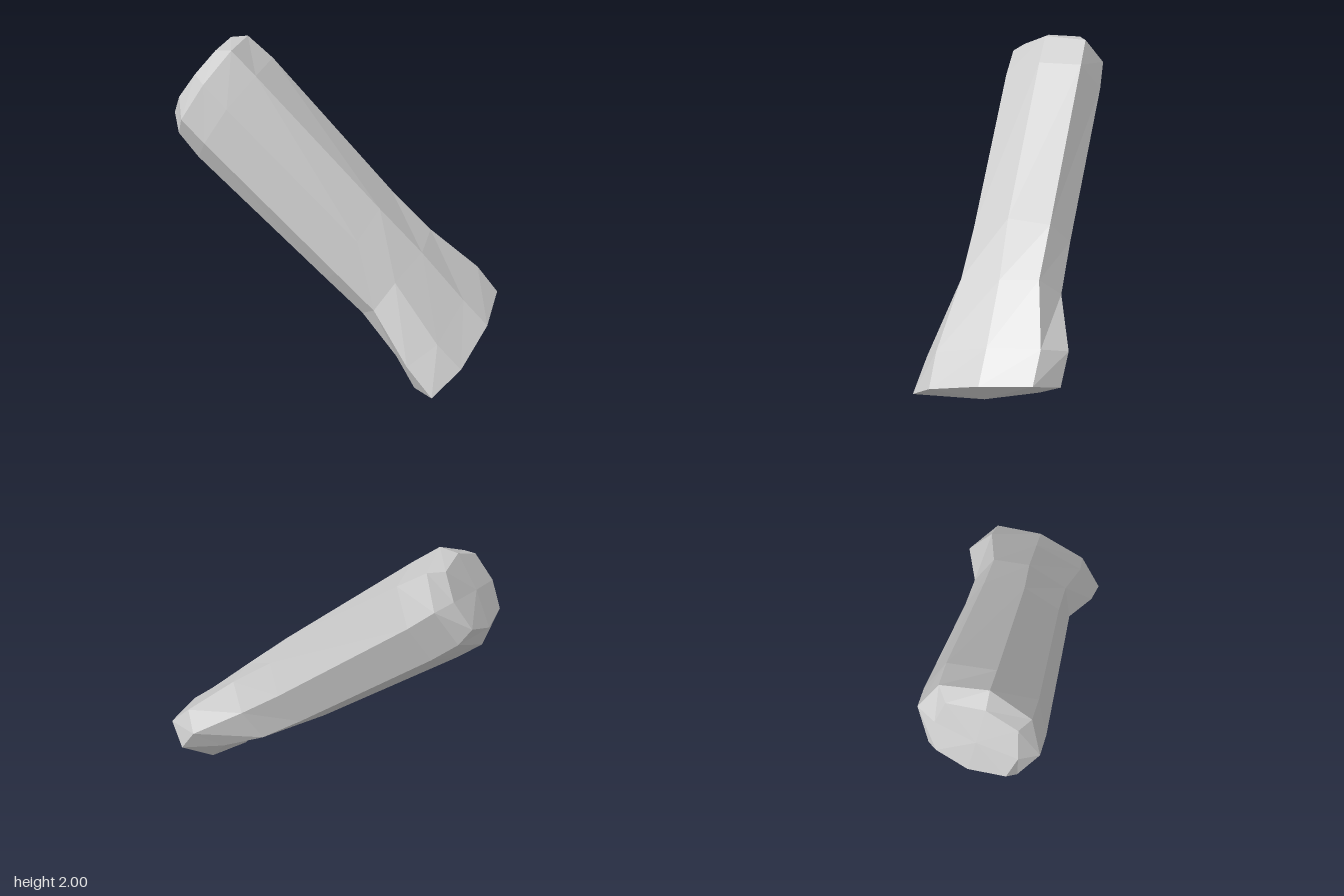
import * as THREE from 'three';

// Each cross-section: centre, then four neighbouring corners of an octagon.
// The other four corners are point reflections through the centre.
const sections = [
  [[-0.625, 1.79, -0.72], [-0.83, 1.74, -0.60], [-0.74, 1.90, -0.53], [-0.57, 1.985, -0.61], [-0.41, 1.985, -0.75]], // top bevel
  [[-0.58, 1.735, -0.67], [-0.87, 1.65, -0.48], [-0.73, 1.87, -0.43], [-0.50, 2.00, -0.53], [-0.31, 1.985, -0.72]], // shoulder
  [[-0.485, 1.60, -0.56], [-0.78, 1.52, -0.36], [-0.64, 1.74, -0.31], [-0.40, 1.86, -0.41], [-0.20, 1.86, -0.60]],
  [[0.055, 0.84, 0.07], [-0.22, 0.76, 0.27], [-0.09, 0.98, 0.31], [0.13, 1.09, 0.20], [0.32, 1.07, 0.02]],
  [[0.23, 0.61, 0.265], [-0.05, 0.53, 0.46], [0.07, 0.74, 0.51], [0.33, 0.81, 0.40], [0.50, 0.83, 0.23]], // flare begins
  [[0.415, 0.37, 0.49], [0.03, 0.25, 0.75], [0.22, 0.39, 0.79], [0.52, 0.51, 0.62], [0.77, 0.55, 0.41]],
  [[0.49, 0.195, 0.62], [0.12, 0.08, 0.91], [0.33, 0.23, 0.91], [0.63, 0.35, 0.75], [0.86, 0.39, 0.53]], // foot rim
];
const topTip = [-0.635, 1.80, -0.73];
const footTip = [0.52, 0.16, 0.64];

function octagon([centre, ...corners]) {
  const opposite = corners.map((p) => p.map((v, i) => 2 * centre[i] - v));
  return [...corners, ...opposite];
}

function meshFrom(name, triangles, material) {
  const geometry = new THREE.BufferGeometry();
  geometry.setAttribute('position', new THREE.Float32BufferAttribute(triangles.flat(), 3));
  geometry.computeVertexNormals();
  const mesh = new THREE.Mesh(geometry, material);
  mesh.name = name;
  return mesh;
}

export function createModel() {
  const group = new THREE.Group();
  group.name = 'flaredBar';
  const material = new THREE.MeshStandardMaterial({ color: 0xcccccc, flatShading: true });
  const rings = sections.map(octagon);
  const first = rings[0];
  const last = rings[rings.length - 1];
  const shaft = [], topCap = [], footCap = [];

  for (let k = 0; k < 8; k++) {
    const n = (k + 1) % 8;
    // Side walls
    for (let i = 0; i < rings.length - 1; i++) {
      const a = rings[i][k], b = rings[i][n], c = rings[i + 1][k], d = rings[i + 1][n];
      shaft.push(a, c, b, b, c, d);
    }
    // End fans
    topCap.push(topTip, first[k], first[n]);
    footCap.push(last[k], footTip, last[n]);
  }

  group.add(meshFrom('shaft', shaft, material));
  group.add(meshFrom('topCap', topCap, material));
  group.add(meshFrom('footCap', footCap, material));
  return group;
}
